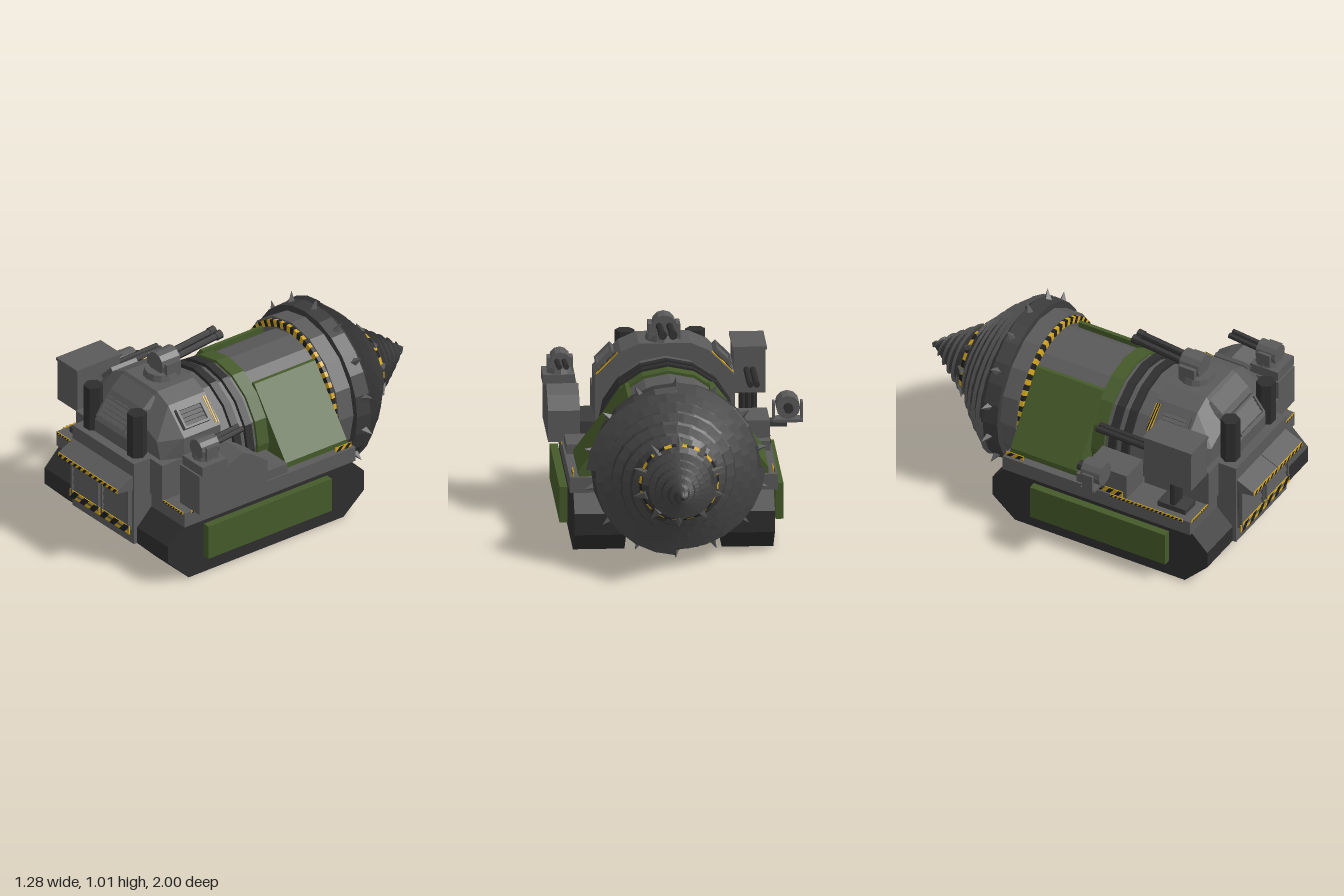
import * as THREE from 'three';
import { ConvexGeometry } from 'three/addons/geometries/ConvexGeometry.js';

const CX = 0.04, AY = 0.48; // hull centre line and drill axis height

const paint = (name, color, side = THREE.FrontSide) => {
  const m = new THREE.MeshStandardMaterial({ color, flatShading: true, side });
  m.name = name;
  return m;
};

export function createModel() {
  const root = new THREE.Group();
  const steel = paint('steel grey', 0x5a5a5a), iron = paint('dark iron', 0x3c3c3c);
  const track = paint('track black', 0x2e2e2e), black = paint('black', 0x1e1e1e, THREE.DoubleSide);
  const green = paint('olive green', 0x455a2a), yellow = paint('hazard yellow', 0xd2a41e, THREE.DoubleSide);

  const add = (name, geo, mat, x = 0, y = 0, z = 0, parent = root) => {
    const m = new THREE.Mesh(geo, mat);
    m.name = name;
    m.position.set(x, y, z);
    parent.add(m);
    return m;
  };
  // box from its limits
  const box = (name, mat, x0, x1, y0, y1, z0, z1, parent = root) =>
    add(name, new THREE.BoxGeometry(x1 - x0, y1 - y0, z1 - z0), mat, (x0 + x1) / 2, (y0 + y1) / 2, (z0 + z1) / 2, parent);
  // cylinder lying along z
  const drum = (name, mat, x, y, z0, z1, r, sides = 16) =>
    add(name, new THREE.CylinderGeometry(r, r, z1 - z0, sides).rotateX(Math.PI / 2), mat, x, y, (z0 + z1) / 2);
  // tapered rod between two points
  const rod = (name, mat, a, b, r0, r1 = r0, sides = 8) => {
    const A = new THREE.Vector3(...a), B = new THREE.Vector3(...b), d = B.clone().sub(A);
    const m = add(name, new THREE.CylinderGeometry(r1, r0, d.length(), sides), mat);
    m.position.copy(A).add(B).multiplyScalar(0.5);
    m.quaternion.setFromUnitVectors(new THREE.Vector3(0, 1, 0), d.normalize());
    return m;
  };
  // side profile given as [z, y], extruded across x0..x1
  const sideExtrude = (name, mat, pts, x0, x1) => {
    const g = new THREE.ExtrudeGeometry(new THREE.Shape(pts.map(([z, y]) => new THREE.Vector2(-z, y))), { depth: x1 - x0, bevelEnabled: false });
    return add(name, g.rotateY(Math.PI / 2), mat, x0, 0, 0);
  };
  // group whose local +z looks along a normal
  const facing = (name, pos, n) => {
    const g = new THREE.Group();
    g.name = name;
    g.position.set(...pos);
    g.lookAt(pos[0] + n[0], pos[1] + n[1], pos[2] + n[2]);
    root.add(g);
    return g;
  };
  // hazard strip: yellow plate with slanted black bars
  const hazard = (name, w, h, pos, n) => {
    const g = facing(name, pos, n);
    add('yellowPlate', new THREE.BoxGeometry(w, h, 0.004), yellow, 0, 0, 0, g);
    const count = Math.max(2, Math.round(w / (h * 1.7))), step = w / count;
    const bar = new THREE.Shape([[0, 0], [step / 2, 0], [step, h], [step / 2, h]].map(p => new THREE.Vector2(...p)));
    for (let i = 0; i < count; i++) add('blackBar', new THREE.ShapeGeometry(bar), black, -w / 2 + i * step, -h / 2, 0.004, g);
  };
  // louvred vent
  const vent = (name, w, h, slats, pos, n, frame = steel) => {
    const g = facing(name, pos, n), t = 0.012;
    add('ventBack', new THREE.BoxGeometry(w, h, 0.008), iron, 0, 0, 0, g);
    for (const s of [-1, 1]) {
      add('ventSide', new THREE.BoxGeometry(t, h, 0.03), frame, s * (w - t) / 2, 0, 0.008, g);
      add('ventRail', new THREE.BoxGeometry(w, t, 0.03), frame, 0, s * (h - t) / 2, 0.008, g);
    }
    for (let i = 0; i < slats; i++) {
      const m = add('slat', new THREE.BoxGeometry(w - 2 * t, h / slats * 0.75, 0.006), steel, 0, (i + 0.5) / slats * (h - 2 * t) - h / 2 + t, 0.009, g);
      m.rotation.x = -0.3;
    }
  };

  // tracks, side armour and chassis
  const trackSide = [[0.88, 0.13], [0.75, 0], [-0.23, 0], [-0.36, 0.11], [-0.36, 0.22], [-0.27, 0.31], [0.79, 0.31], [0.88, 0.22]];
  for (const s of [-1, 1]) {
    const x = CX + s * 0.372, p = CX + s * 0.54;
    sideExtrude('track', track, trackSide, x - 0.129, x + 0.129);
    box('trackArmour', green, p - 0.02, p + 0.02, 0.105, 0.29, -0.11, 0.67);
    hazard('deckEdgeStripe', 0.42, 0.014, [CX + s * 0.521, 0.388, 0.54], [s, 0, 0]);
    hazard('deckRearStripe', 0.1, 0.025, [CX + s * 0.5, 0.402, -0.23], [s, 0, 0]);
    hazard('deckFrontStripe', 0.16, 0.012, [CX + s * 0.43, 0.388, 0.793], [0, 0, 1]);
  }
  box('belly', track, -0.21, 0.29, 0.105, 0.32, -0.3, 0.78);
  box('deck', steel, -0.48, 0.56, 0.31, 0.39, -0.29, 0.79);
  box('upperBlock', steel, -0.31, 0.39, 0.39, 0.59, 0.43, 0.8);
  box('frontBlock', steel, -0.21, 0.29, 0.13, 0.59, 0.7, 0.9);

  // front shutters with awnings
  for (const s of [-1, 1]) {
    const x = CX + s * 0.122;
    vent('shutter', 0.225, 0.25, 5, [x, 0.335, 0.902], [0, 0, 1]);
    sideExtrude('awning', steel, [[0.9, 0.515], [0.9, 0.44], [0.995, 0.45], [0.995, 0.47]], x - 0.12, x + 0.12);
    hazard('awningStripe', 0.235, 0.022, [x, 0.46, 0.996], [0, 0, 1]);
    hazard('sillStripe', 0.24, 0.045, [x, 0.213, 0.922], [0, 0, 1]);
  }

  // cabin: rear sections and a raked front
  const section = (z, pts) => pts.flatMap(([x, y]) => [-1, 1].map(s => new THREE.Vector3(CX + s * x, y, z)));
  const arch = [[0.35, 0.58], [0.35, 0.7], [0.22, 0.83], [0.13, 0.87]];
  add('cabin', new ConvexGeometry([...section(0.43, arch), ...section(0.66, arch), ...section(0.77, [[0.3, 0.58], [0.27, 0.68], [0.14, 0.74]])]), steel);
  add('louverHousing', new ConvexGeometry([...section(0.68, [[0.17, 0.59], [0.17, 0.79], [0.13, 0.86]]),
    ...section(0.85, [[0.13, 0.59], [0.13, 0.66]]), ...section(0.75, [[0.13, 0.8]])]), steel);
  vent('frontLouver', 0.23, 0.12, 4, [CX, 0.725, 0.805], [0, 0.58, 0.81]);
  for (const s of [-1, 1]) {
    const n = [s * 0.707, 0.707, 0];
    vent('cabinVent', 0.16, 0.11, 4, [CX + s * 0.287, 0.768, 0.565], n);
    hazard('cabinStripe', 0.025, 0.15, [CX + s * 0.29, 0.767, 0.446], n);
    add('exhaustStack', new THREE.CylinderGeometry(0.05, 0.05, 0.25, 6).rotateY(Math.PI / 6), track, CX + s * 0.177, 0.705, 0.825);
  }

  // hull barrel, ribs, green arch and sloped armour
  drum('hullBarrel', steel, CX, AY, -0.3, 0.45, 0.325);
  for (const z of [0.21, 0.285]) drum('hullRib', track, CX, AY, z, z + 0.042, 0.345);
  drum('hullArch', green, CX, AY, 0.11, 0.185, 0.34);
  box('hullPlinth', steel, -0.27, 0.35, 0.38, 0.5, -0.29, 0.45);
  for (const s of [-1, 1]) {
    add('slopedArmour', new ConvexGeometry([-0.27, 0.115].flatMap(z =>
      [[0.2, 0.76], [0.22, 0.76], [0.475, 0.42], [0.475, 0.39], [0.2, 0.39]].map(([x, y]) => new THREE.Vector3(CX + s * x, y, z)))), green);
    box('armourFoot', steel, CX + s * 0.4 - 0.11, CX + s * 0.4 + 0.11, 0.39, 0.44, 0.13, 0.32);
  }
  drum('drillCollar', steel, CX, AY, -0.385, -0.29, 0.39);
  for (let i = 0; i <= 48; i++) {
    const a = -0.25 + i / 48 * (Math.PI + 0.5);
    const m = add('collarStripe', new THREE.BoxGeometry(0.035, 0.027, 0.022), i % 2 ? black : yellow, CX + 0.358 * Math.cos(a), AY + 0.358 * Math.sin(a), -0.282);
    m.rotation.z = a;
  }

  // drill: stepped core with spiral blades
  const core = [[0, -0.38], [0.42, -0.38], [0.425, -0.46], [0.385, -0.5], [0.32, -0.59], [0.24, -0.67], [0.185, -0.725], [0.165, -0.75], [0.075, -0.89], [0, -0.995]];
  add('drillCore', new THREE.LatheGeometry(core.map(([r, z]) => new THREE.Vector2(r, -z)), 24).rotateX(-Math.PI / 2), iron, CX, AY, 0);
  const coreRadius = z => {
    let i = 3;
    while (i < core.length - 1 && z < core[i][1]) i++;
    const [r0, z0] = core[i - 1], [r1, z1] = core[i];
    return r0 + (r1 - r0) * (z - z0) / (z1 - z0);
  };
  // triangular ridge wound around the core
  const blade = (z0, z1, start, turns, height, width) => {
    const n = Math.round(turns * 26), pos = [], idx = [];
    for (let i = 0; i <= n; i++) {
      const t = i / n, z = z0 + (z1 - z0) * t, a = start + t * turns * Math.PI * 2, r = coreRadius(z);
      for (const [dr, dz] of [[-0.015, width], [height * (1 - 0.5 * t), 0], [-0.025, -width]])
        pos.push(CX + Math.max(0, r + dr) * Math.cos(a), AY + Math.max(0, r + dr) * Math.sin(a), Math.max(-1, z + dz));
      if (i < n) for (let k = 0; k < 3; k++) {
        const p = i * 3 + k, q = i * 3 + (k + 1) % 3;
        idx.push(p, p + 3, q, q, p + 3, q + 3);
      }
    }
    const g = new THREE.BufferGeometry();
    g.setAttribute('position', new THREE.Float32BufferAttribute(pos, 3));
    g.setIndex(idx);
    g.computeVertexNormals();
    add('drillBlade', g, bladeSteel);
  };
  const bladeSteel = paint('blade grey', 0x484848, THREE.DoubleSide);
  for (let i = 0; i < 4; i++) blade(-0.47, -0.705, i * Math.PI / 2, 1.3, 0.035, 0.02);
  for (let i = 0; i < 2; i++) blade(-0.755, -0.985, i * Math.PI, 2.6, 0.025, 0.017);

  // spike rings and hazard band on the drill
  const spikeRing = (count, r, z, len, lean) => {
    for (let i = 0; i < count; i++) {
      const a = (i + 0.5) / count * Math.PI * 2, c = Math.cos(a), s = Math.sin(a);
      rod('drillSpike', steel, [CX + c * (r - 0.02), AY + s * (r - 0.02), z], [CX + c * (r + len), AY + s * (r + len), z + lean], 0.028, 0, 4);
    }
  };
  spikeRing(14, 0.42, -0.43, 0.05, -0.02);
  spikeRing(10, 0.19, -0.73, 0.05, 0.03);
  for (let i = 0; i < 32; i++)
    add('drillBandStripe', new THREE.CylinderGeometry(0.2, 0.19, 0.022, 1, 1, true, i / 32 * Math.PI * 2, Math.PI / 16).rotateX(Math.PI / 2), i % 2 ? black : yellow, CX, AY, -0.722);

  // roof gun
  add('roofGunRing', new THREE.CylinderGeometry(0.085, 0.095, 0.035, 14), steel, CX, 0.885, 0.53);
  add('roofGunHead', new THREE.CylinderGeometry(0.06, 0.065, 0.11, 12).rotateX(Math.PI / 2), steel, CX, 0.942, 0.515);
  for (const s of [-1, 1]) {
    const x = CX + s * 0.026;
    box('roofGunCheek', steel, CX + s * 0.07 - 0.01, CX + s * 0.07 + 0.01, 0.88, 0.96, 0.47, 0.56);
    rod('roofGunBarrel', track, [x, 0.95, 0.47], [x, 0.983, 0.18], 0.018);
    rod('roofGunMuzzle', track, [x, 0.979, 0.21], [x, 0.984, 0.175], 0.023);
  }

  // left sponson with small gun
  sideExtrude('sponson', steel, [[0.75, 0.4], [0.75, 0.62], [0.57, 0.62], [0.47, 0.66], [0.4, 0.62], [0.32, 0.56], [0.32, 0.4]], 0.47, 0.63);
  box('sponsonLink', iron, 0.38, 0.48, 0.41, 0.48, 0.4, 0.68);
  box('sponsonPlatform', steel, 0.48, 0.64, 0.62, 0.672, 0.58, 0.74);
  add('smallGunBase', new THREE.CylinderGeometry(0.06, 0.07, 0.03, 12), steel, 0.55, 0.685, 0.65);
  drum('smallGunHead', steel, 0.55, 0.73, 0.6, 0.71, 0.052, 12);
  for (const s of [-1, 1]) {
    rod('smallGunBarrel', track, [0.55 + s * 0.018, 0.735, 0.62], [0.55 + s * 0.018, 0.755, 0.43], 0.014);
    box('smallGunCheek', steel, 0.55 + s * 0.056 - 0.008, 0.55 + s * 0.056 + 0.008, 0.68, 0.75, 0.62, 0.69);
  }

  // right launcher box on posts, barrels pointing at the drill end
  box('launcherBox', steel, -0.47, -0.31, 0.58, 0.81, 0.52, 0.79);
  box('launcherLid', steel, -0.476, -0.304, 0.805, 0.82, 0.514, 0.796);
  box('launcherFoot', iron, -0.44, -0.34, 0.39, 0.42, 0.58, 0.74);
  for (const x of [-0.418, -0.39, -0.362]) rod('launcherPost', track, [x, 0.39, 0.66], [x, 0.6, 0.66], 0.018);
  for (const s of [-1, 1]) rod('launcherBarrel', track, [-0.39 + s * 0.016, 0.7, 0.54], [-0.39 + s * 0.016, 0.71, 0.21], 0.016);

  // right side pod on its bracket
  box('podMount', steel, -0.47, -0.31, 0.39, 0.53, 0.19, 0.42);
  box('podArm', iron, -0.56, -0.44, 0.48, 0.505, 0.25, 0.33);
  box('podCradle', steel, -0.64, -0.49, 0.5, 0.515, 0.25, 0.33);
  for (const x of [-0.635, -0.495]) box('podCheek', steel, x - 0.006, x + 0.006, 0.5, 0.6, 0.26, 0.32);
  drum('podHead', steel, -0.565, 0.58, 0.24, 0.35, 0.06, 12);
  rod('podBarrel', track, [-0.565, 0.58, 0.25], [-0.565, 0.585, 0.2], 0.025);
  hazard('podMountStripe', 0.2, 0.03, [-0.473, 0.41, 0.3], [-1, 0, 0]);
  return root;
}
